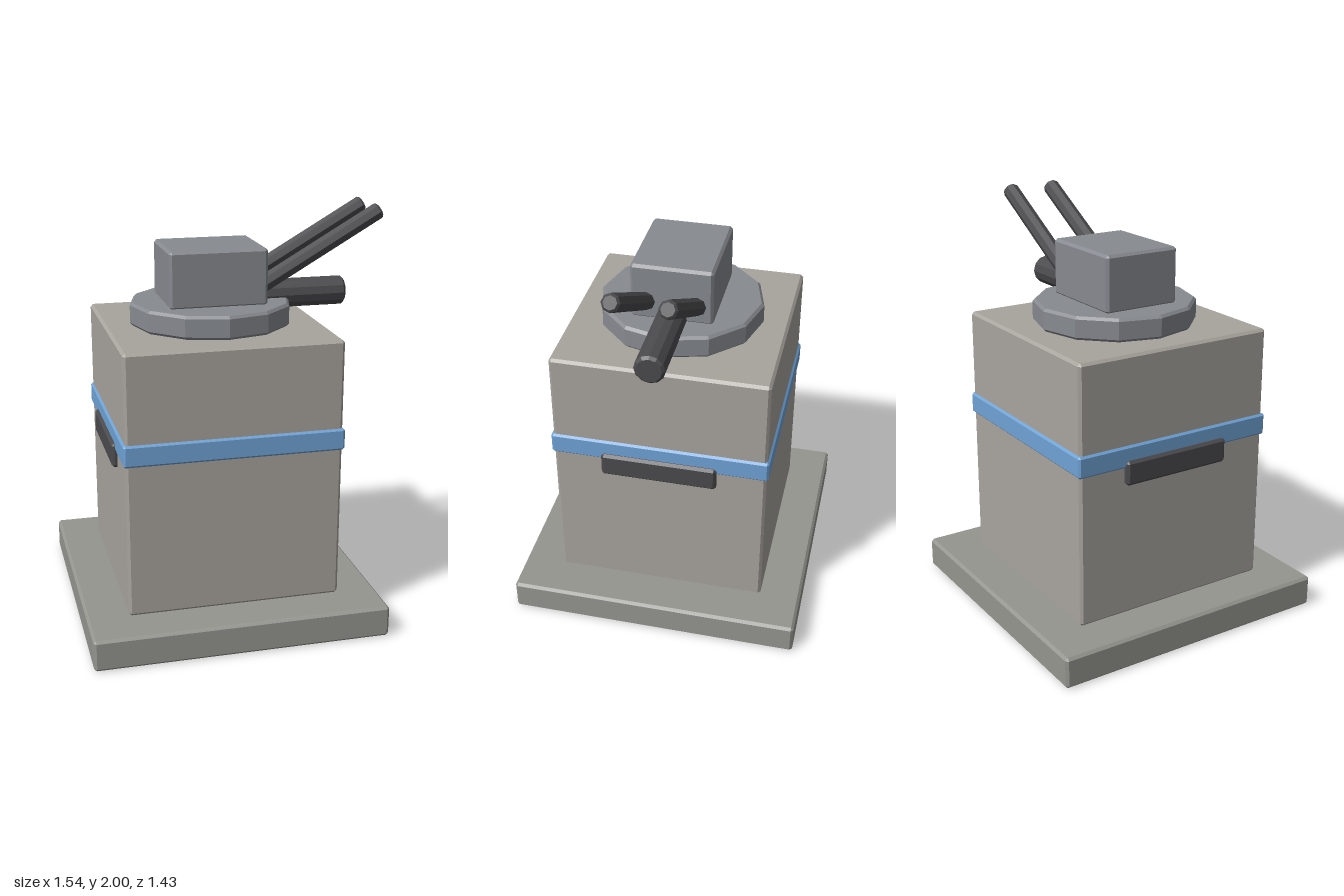
import * as THREE from 'three';
import { ConvexGeometry } from 'three/addons/geometries/ConvexGeometry.js';

const CX = -0.06; // tower axis
const BEVEL = 0.013;

const material = (color) => new THREE.MeshStandardMaterial({ color, flatShading: true });

// Box with single-step chamfered edges, given by size
function chamferBox(w, h, d, b = BEVEL) {
  const pts = [];
  for (const x of [-1, 1]) for (const y of [-1, 1]) for (const z of [-1, 1]) {
    for (const k of [0, 1, 2]) {
      pts.push(new THREE.Vector3(
        x * (w / 2 - (k === 0 ? 0 : b)),
        y * (h / 2 - (k === 1 ? 0 : b)),
        z * (d / 2 - (k === 2 ? 0 : b))));
    }
  }
  return new ConvexGeometry(pts);
}

// Faceted cylinder along y with chamfered rims, starting at y = 0
function chamferCylinder(r, length, sides, b = BEVEL) {
  const profile = [[0, 0], [r - b, 0], [r, b], [r, length - b], [r - b, length], [0, length]];
  return new THREE.LatheGeometry(profile.map(([x, y]) => new THREE.Vector2(x, y)), sides);
}

export function createModel() {
  const model = new THREE.Group();
  const stone = material(0xa8a49e);
  const plinthGrey = material(0x959590);
  const steel = material(0x878a90);
  const dark = material(0x4b4b4e);
  const blue = material(0x6fa3d6);

  const add = (name, geometry, mat, x, y, z = 0) => {
    const mesh = new THREE.Mesh(geometry, mat);
    mesh.name = name;
    mesh.position.set(x, y, z);
    model.add(mesh);
    return mesh;
  };

  // Tower
  add('basePlate', chamferBox(1.43, 0.155, 1.43), plinthGrey, CX, 0.0775);
  add('towerBody', chamferBox(1.034, 1.28, 1.034), stone, CX, 0.797);
  add('colourBand', chamferBox(1.054, 0.106, 1.054, 0.01), blue, CX, 0.958);

  // Side vents
  for (const s of [-1, 1]) {
    add(s > 0 ? 'leftVent' : 'rightVent', chamferBox(0.05, 0.12, 0.56), dark, CX + s * 0.518, 0.88);
  }

  // Turret
  add('turretRing', chamferCylinder(0.395, 0.112, 12), steel, CX, 1.437);
  add('turretHousing', chamferBox(0.475, 0.275, 0.39), steel, CX, 1.68);

  // Main barrel, level
  add('mainBarrel', chamferCylinder(0.072, 0.6, 12), dark, 0.015, 1.558).rotation.z = -Math.PI / 2;

  // Twin raised barrels
  const tilt = Math.PI / 6, length = 0.75;
  for (const s of [-1, 1]) {
    const barrel = add(s > 0 ? 'frontBarrel' : 'backBarrel', chamferCylinder(0.042, length, 8, 0.011), dark,
      0.752 - length * Math.cos(tilt), 1.967 - length * Math.sin(tilt), s * 0.12);
    barrel.rotation.z = tilt - Math.PI / 2;
  }
  return model;
}
